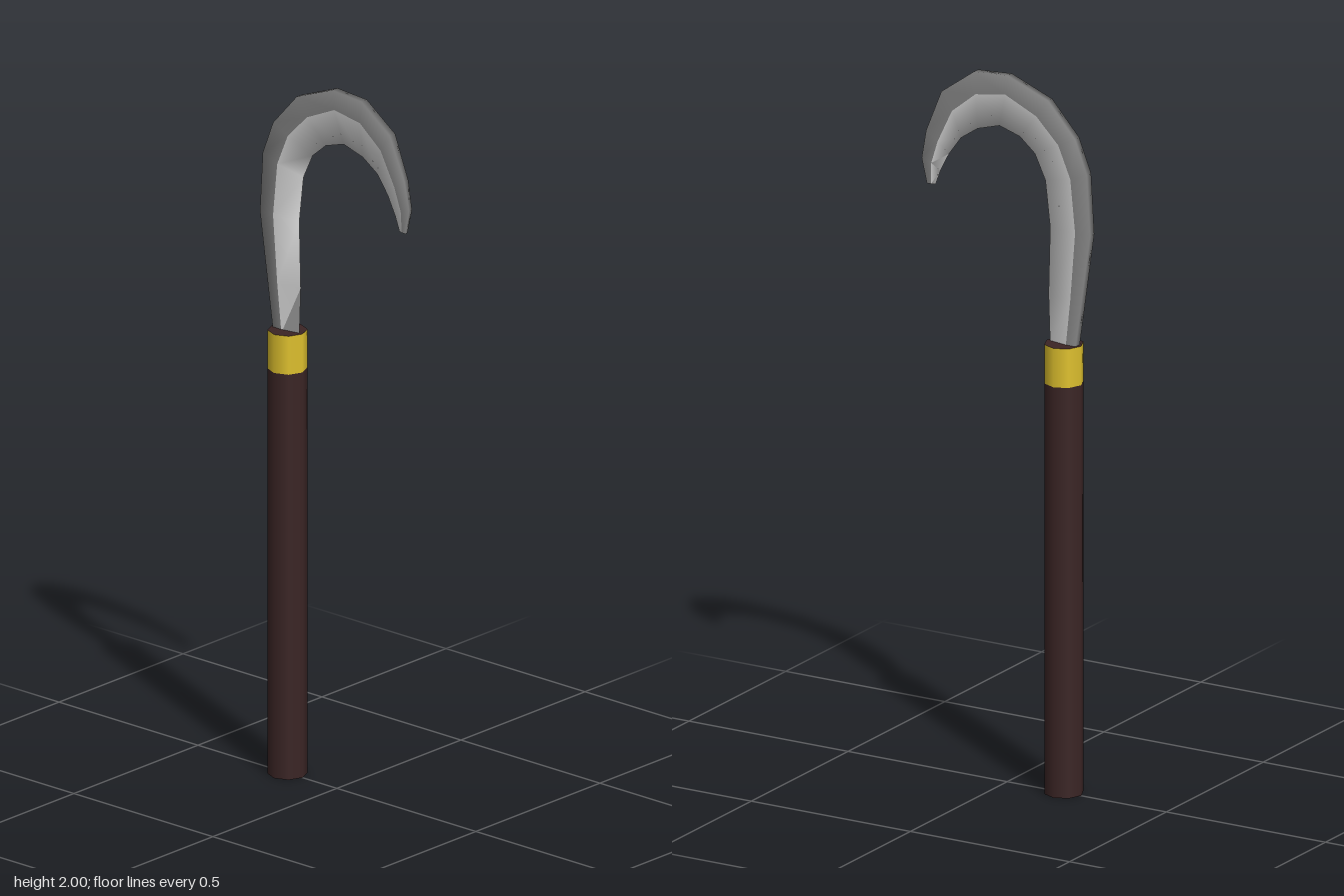
import * as THREE from 'three';

// blade stations: outer x, y, bevel line x, y, inner edge x, y, half thickness
const STATIONS = [
  [-0.22, 1.26, -0.19, 1.26, -0.135, 1.26, 0.011],
  [-0.24, 1.40, -0.205, 1.40, -0.13, 1.40, 0.011],
  [-0.267, 1.59, -0.22, 1.59, -0.135, 1.59, 0.011],
  [-0.257, 1.76, -0.205, 1.74, -0.12, 1.72, 0.011],
  [-0.22, 1.855, -0.167, 1.83, -0.087, 1.79, 0.011],
  [-0.135, 1.95, -0.098, 1.90, -0.04, 1.83, 0.011],
  [-0.008, 2.0, 0, 1.945, 0.024, 1.85, 0.011],
  [0.098, 1.993, 0.093, 1.93, 0.093, 1.83, 0.011],
  [0.2, 1.92, 0.167, 1.87, 0.145, 1.795, 0.011],
  [0.25, 1.80, 0.214, 1.775, 0.183, 1.743, 0.008],
  [0.265, 1.72, 0.235, 1.71, 0.21, 1.69, 0.006],
  [0.25, 1.65, 0.237, 1.65, 0.225, 1.65, 0.004],
];

// joins equal cross-section rows into a smooth strip
function loft(rows) {
  const n = rows[0].length;
  const index = [];
  for (let i = 0; i < rows.length - 1; i++) {
    for (let j = 0; j < n - 1; j++) {
      const a = i * n + j;
      index.push(a, a + n, a + 1, a + 1, a + n, a + n + 1);
    }
  }
  const g = new THREE.BufferGeometry();
  g.setAttribute('position', new THREE.Float32BufferAttribute(rows.flat(2), 3));
  g.setIndex(index);
  g.computeVertexNormals();
  return g;
}

export function createModel() {
  const material = (name, color) => new THREE.MeshStandardMaterial({ name, color });
  const wood = material('dark wood', 0x3b2525);
  const gold = material('gold', 0xe0c22e);
  const steel = material('grey steel', 0x8a8a8a);
  const silver = material('polished edge', 0xe0e0e0);

  const model = new THREE.Group();
  model.name = 'sickle';
  const add = (name, geometry, mat) => {
    const mesh = new THREE.Mesh(geometry, mat);
    mesh.name = name;
    model.add(mesh);
    return mesh;
  };

  // eight-sided handle with a gold collar and a wooden end inside it
  const R = 0.054, X = -0.178;
  add('handle', new THREE.CylinderGeometry(R, R, 1.16, 8), wood).position.set(X, 0.58, 0);
  add('collar', new THREE.CylinderGeometry(R, R, 0.11, 8, 1, true), gold).position.set(X, 1.215, 0);
  const end = add('handleEnd', new THREE.CircleGeometry(R, 8), wood);
  end.rotation.x = -Math.PI / 2;
  end.position.set(X, 1.27, 0);

  // blade spine: front side, outer rim, back side
  add('bladeSpine', loft(STATIONS.map(([ox, oy, mx, my, , , t]) =>
    [[mx, my, t], [ox, oy, t], [ox, oy, -t], [mx, my, -t]])), steel);

  // ground bevels meeting at the inner cutting edge
  add('bladeEdge', loft(STATIONS.map(([, , mx, my, ix, iy, t]) =>
    [[mx, my, -t], [ix, iy, 0], [mx, my, t]])), silver);

  // blunt tip closing the blade
  const [ox, oy, mx, my, ix, iy, t] = STATIONS[STATIONS.length - 1];
  const tip = new THREE.BufferGeometry();
  tip.setAttribute('position', new THREE.Float32BufferAttribute(
    [ix, iy, 0, mx, my, -t, ox, oy, -t, ox, oy, t, mx, my, t], 3));
  tip.setIndex([0, 1, 2, 0, 2, 3, 0, 3, 4]);
  tip.computeVertexNormals();
  add('bladeTip', tip, steel);

  return model;
}
